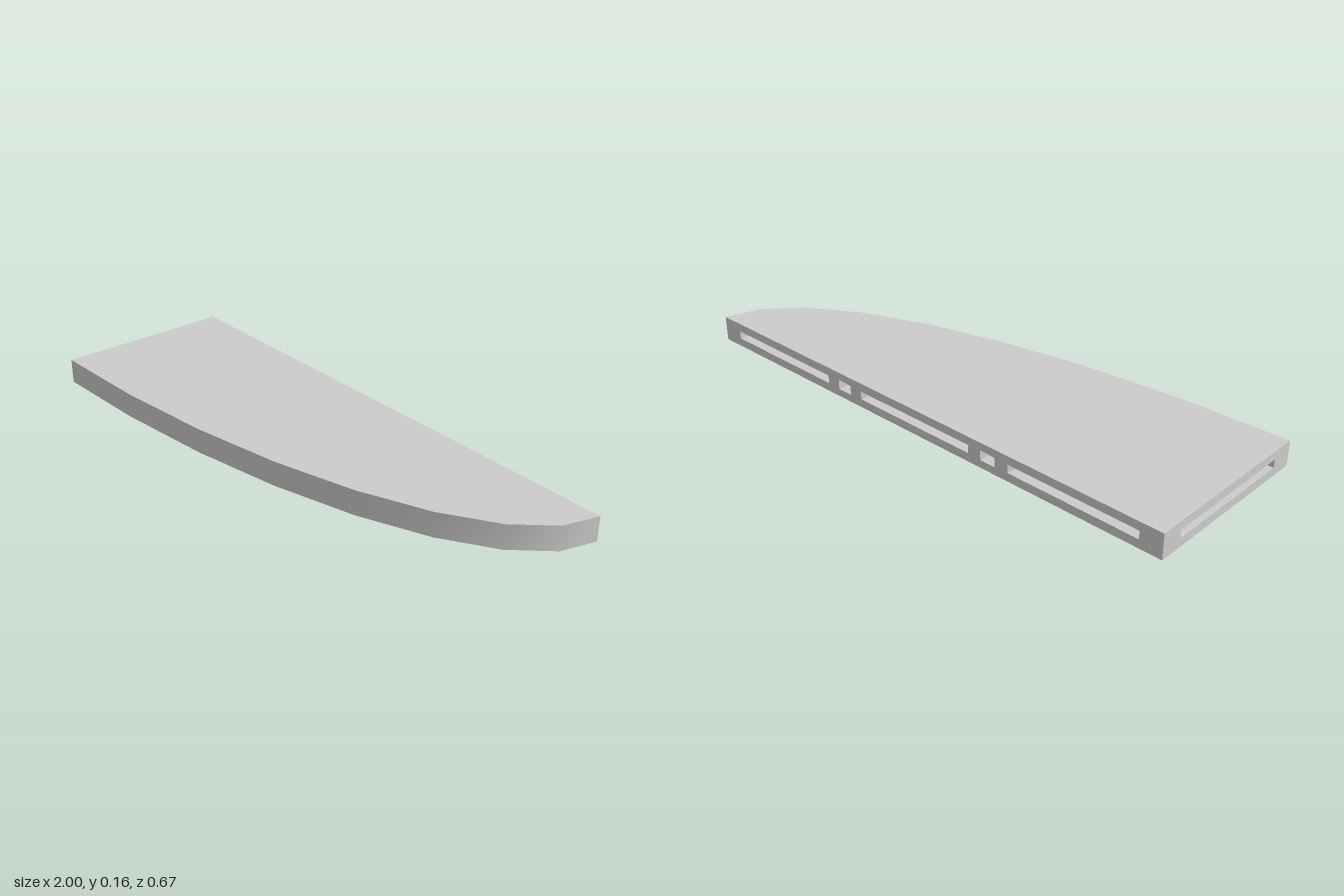
import * as THREE from 'three';

const BOTTOM = 0.068, TOP = 0.16, HEIGHT = TOP - BOTTOM, MID = (TOP + BOTTOM) / 2;
const LENGTH = 2, DEPTH = 0.667, BACK = -DEPTH / 2;
const POCKET = 0.04;

const grey = new THREE.MeshStandardMaterial({ color: 0xcccccc });
const flatGrey = new THREE.MeshStandardMaterial({ color: 0xcccccc, flatShading: true });

function mesh(name, geometry, material = grey) {
  const m = new THREE.Mesh(geometry, material);
  m.name = name;
  return m;
}

// Inward-facing box without its front (+z) face
function pocketGeometry(w, h, d) {
  const geo = new THREE.BoxGeometry(w, h, d);
  const index = Array.from(geo.index.array);
  index.splice(24, 6);
  for (let i = 0; i < index.length; i += 3) [index[i], index[i + 1]] = [index[i + 1], index[i]];
  geo.setIndex(index);
  geo.clearGroups();
  geo.computeVertexNormals();
  return geo;
}

// Flat wall facing +z, with recessed rectangular openings
function slottedWall(name, length, openings) {
  const wall = new THREE.Group();
  wall.name = name;
  const rect = (path, x, w, h) => path
    .moveTo(x - w / 2, -h / 2).lineTo(x + w / 2, -h / 2)
    .lineTo(x + w / 2, h / 2).lineTo(x - w / 2, h / 2).closePath();
  const shape = rect(new THREE.Shape(), 0, length, HEIGHT);
  for (const { part, x, w, h } of openings) {
    shape.holes.push(rect(new THREE.Path(), x, w, h));
    const pocket = mesh(part, pocketGeometry(w, h, POCKET));
    pocket.position.set(x, 0, -POCKET / 2);
    wall.add(pocket);
  }
  wall.add(mesh(name + 'Face', new THREE.ShapeGeometry(shape)));
  return wall;
}

export function createModel() {
  const model = new THREE.Group();
  model.name = 'quarterEllipseSlab';

  // Quarter-ellipse front edge, from the wide end to the tip
  const STEPS = 8;
  const edge = [];
  for (let i = 0; i <= STEPS; i++) {
    const t = (i / STEPS) * Math.PI / 2;
    edge.push(new THREE.Vector2(-1 + LENGTH * Math.sin(t), BACK + DEPTH * Math.cos(t)));
  }

  // Top and bottom plates
  const corner = new THREE.Vector2(-1, BACK);
  const outline = [corner, ...edge];
  const mirrored = outline.map((p) => new THREE.Vector2(p.x, -p.y));
  const top = mesh('topPlate', new THREE.ShapeGeometry(new THREE.Shape(mirrored)));
  top.rotation.x = -Math.PI / 2;
  top.position.y = TOP;
  const bottom = mesh('bottomPlate', new THREE.ShapeGeometry(new THREE.Shape(outline)));
  bottom.rotation.x = Math.PI / 2;
  bottom.position.y = BOTTOM;
  model.add(top, bottom);

  // Smooth curved side
  const sideGeo = new THREE.PlaneGeometry(1, 1, STEPS, 1);
  const pos = sideGeo.attributes.position;
  for (let i = 0; i < pos.count; i++) {
    const p = edge[i % (STEPS + 1)];
    pos.setXYZ(i, p.x, i <= STEPS ? TOP : BOTTOM, p.y);
  }
  sideGeo.computeVertexNormals();
  model.add(mesh('curvedSide', sideGeo));

  // Back wall: three long slots with two small sockets between them
  const slot = (x) => ({ part: 'slot', x, w: 0.5, h: 0.03 });
  const socket = (x) => ({ part: 'socket', x, w: 0.06, h: 0.036 });
  const back = slottedWall('backWall', LENGTH,
    [slot(-0.667), socket(-0.333), slot(0), socket(0.333), slot(0.667)]);
  back.rotation.y = Math.PI;
  back.position.set(0, MID, BACK);

  // Wide end wall: a single slot
  const end = slottedWall('endWall', DEPTH, [slot(0)]);
  end.rotation.y = -Math.PI / 2;
  end.position.set(-1, MID, 0);
  model.add(back, end);

  // Inverted pyramid feet
  for (const x of [-0.667, 0]) {
    const geo = new THREE.ConeGeometry(0.088 * Math.SQRT2, BOTTOM, 4, 1, true);
    geo.rotateY(Math.PI / 4).rotateX(Math.PI);
    const foot = mesh('pyramidFoot', geo, flatGrey);
    foot.position.set(x, BOTTOM / 2, 0);
    model.add(foot);
  }
  return model;
}
